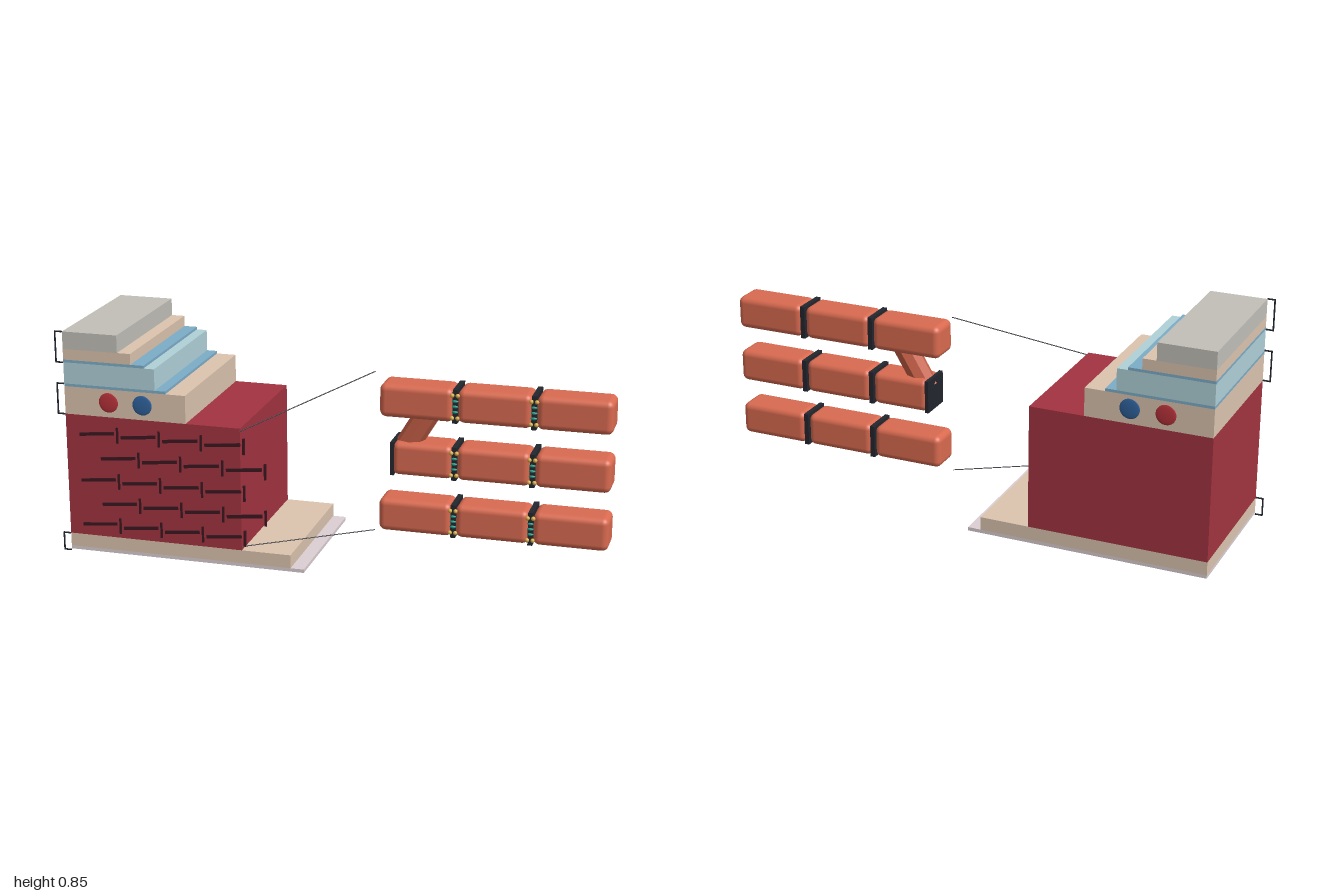
import * as THREE from 'three';
import { RoundedBoxGeometry } from 'three/addons/geometries/RoundedBoxGeometry.js';

const mat = (color, flatShading = false) => new THREE.MeshStandardMaterial({ color, flatShading });
const dark = mat(0x22262e), mortar = mat(0x3a1820), coral = mat(0xd96a50);
const red = mat(0xa23340), beige = mat(0xdcc4ae), blue = mat(0x7dadc8);
const paleBlue = mat(0xb0d1d8), grey = mat(0xc2bfb8), pale = mat(0xdccfd3);
const gold = mat(0xd9ae4a), teal = mat(0x1f9a86);
const FRONT = 0.28, BACK = -0.285, LEFT = -0.97;

function add(parent, name, geometry, material, x = 0, y = 0, z = 0) {
  const mesh = new THREE.Mesh(geometry, material);
  mesh.name = name;
  mesh.position.set(x, y, z);
  parent.add(mesh);
  return mesh;
}

// Straight rod between two points
function rod(parent, name, a, b, radius, material, sides = 6) {
  const from = new THREE.Vector3(...a), to = new THREE.Vector3(...b);
  const mesh = add(parent, name, new THREE.CylinderGeometry(radius, radius, from.distanceTo(to), sides), material);
  mesh.position.copy(from).add(to).multiplyScalar(0.5);
  mesh.quaternion.setFromUnitVectors(new THREE.Vector3(0, 1, 0), to.sub(from).normalize());
  return mesh;
}

// Stepped layers, each a box from the common left edge
function layerStack() {
  const g = new THREE.Group();
  g.name = 'layerStack';
  const layers = [
    ['baseSheet', 0.007, 0.02, -0.065, pale],
    ['lowerLayer', 0.02, 0.07, -0.115, beige],
    ['thickLayer', 0.07, 0.535, -0.30, red],
    ['middleLayer', 0.535, 0.64, -0.505, beige],
    ['lowerThinSheet', 0.64, 0.65, -0.58, blue],
    ['paleLayer', 0.65, 0.73, -0.62, paleBlue],
    ['upperThinSheet', 0.73, 0.74, -0.66, blue],
    ['upperLayer', 0.74, 0.78, -0.71, beige],
    ['topLayer', 0.78, 0.845, -0.76, grey],
  ];
  for (const [name, y0, y1, x1, m] of layers)
    add(g, name, new THREE.BoxGeometry(x1 - LEFT, y1 - y0, FRONT - BACK), m, (LEFT + x1) / 2, (y0 + y1) / 2, (FRONT + BACK) / 2);

  // Flattened spots on the front and back
  for (const z of [FRONT, BACK])
    for (const [name, x, c] of [['redSpot', -0.80, 0xb8323a], ['blueSpot', -0.67, 0x2f629c]])
      add(g, name, new THREE.SphereGeometry(0.037, 32, 16), mat(c), x, 0.59, z).scale.z = 0.12;

  // Staggered dashes and upright ticks on the thick layer
  [0.468, 0.38, 0.29, 0.203, 0.117].forEach((y, row) => {
    for (let i = 0; i < 4; i++) {
      const x = -0.85 + (row % 2) * 0.08 + i * 0.161;
      add(g, 'dash', new THREE.BoxGeometry(0.135, 0.012, 0.008), mortar, x, y, FRONT).rotation.z = 0.1;
      add(g, 'tick', new THREE.BoxGeometry(0.008, 0.06, 0.008), mortar, x + 0.08, y, FRONT);
    }
  });

  // Bracket lines beside the layers
  for (const [y0, y1] of [[0.003, 0.07], [0.535, 0.65], [0.73, 0.845]]) {
    const z = FRONT + 0.002;
    rod(g, 'bracketBar', [-0.997, y0, z], [-0.997, y1, z], 0.003, dark);
    for (const y of [y0, y1]) rod(g, 'bracketArm', [-0.999, y, z], [LEFT, y, z], 0.003, dark);
  }
  return g;
}

// Row of three rounded segments with dark plates and beads at the joints
function chainRow(y, start) {
  const g = new THREE.Group();
  g.name = 'chainRow';
  g.position.y = y;
  for (const [x0, x1] of [[start, 0.427], [0.443, 0.711], [0.728, 1.0]])
    add(g, 'segment', new RoundedBoxGeometry(x1 - x0, 0.125, 0.126, 4, 0.024), coral, (x0 + x1) / 2, 0, 0);
  for (const x of [0.435, 0.7195]) {
    add(g, 'jointPlate', new THREE.BoxGeometry(0.018, 0.125, 0.126), dark, x, 0, 0);
    const bead = new THREE.SphereGeometry(0.008, 12, 8);
    for (const s of [-1, 1])
      for (const t of [-1, 1]) add(g, 'goldBead', bead, gold, x + t * 0.01, s * 0.042, 0.065);
    for (const dy of [-0.02, 0, 0.02]) {
      const link = add(g, 'tealLink', bead, teal, x, dy, 0.061);
      link.scale.set(1.5, 0.7, 0.9);
    }
  }
  return g;
}

export function createModel() {
  const model = new THREE.Group();
  model.name = 'layeredDiagram';
  model.add(layerStack());

  // Enlarged chain
  const chain = new THREE.Group();
  chain.name = 'chain';
  model.add(chain);
  chain.add(chainRow(0.613, 0.155), chainRow(0.397, 0.205), chainRow(0.177, 0.155));
  add(chain, 'endPlate', new THREE.BoxGeometry(0.014, 0.125, 0.126), dark, 0.205, 0.397, 0);
  rod(chain, 'slantedLink', [0.232, 0.41, 0], [0.337, 0.585, 0], 0.045, mat(0xc65f47, true), 8);

  // Callout lines from the stack to the chain
  rod(model, 'upperCallout', [-0.30, 0.525, FRONT], [0.127, 0.704, 0], 0.002, dark);
  rod(model, 'lowerCallout', [-0.30, 0.085, FRONT], [0.127, 0.092, 0], 0.002, dark);
  return model;
}
